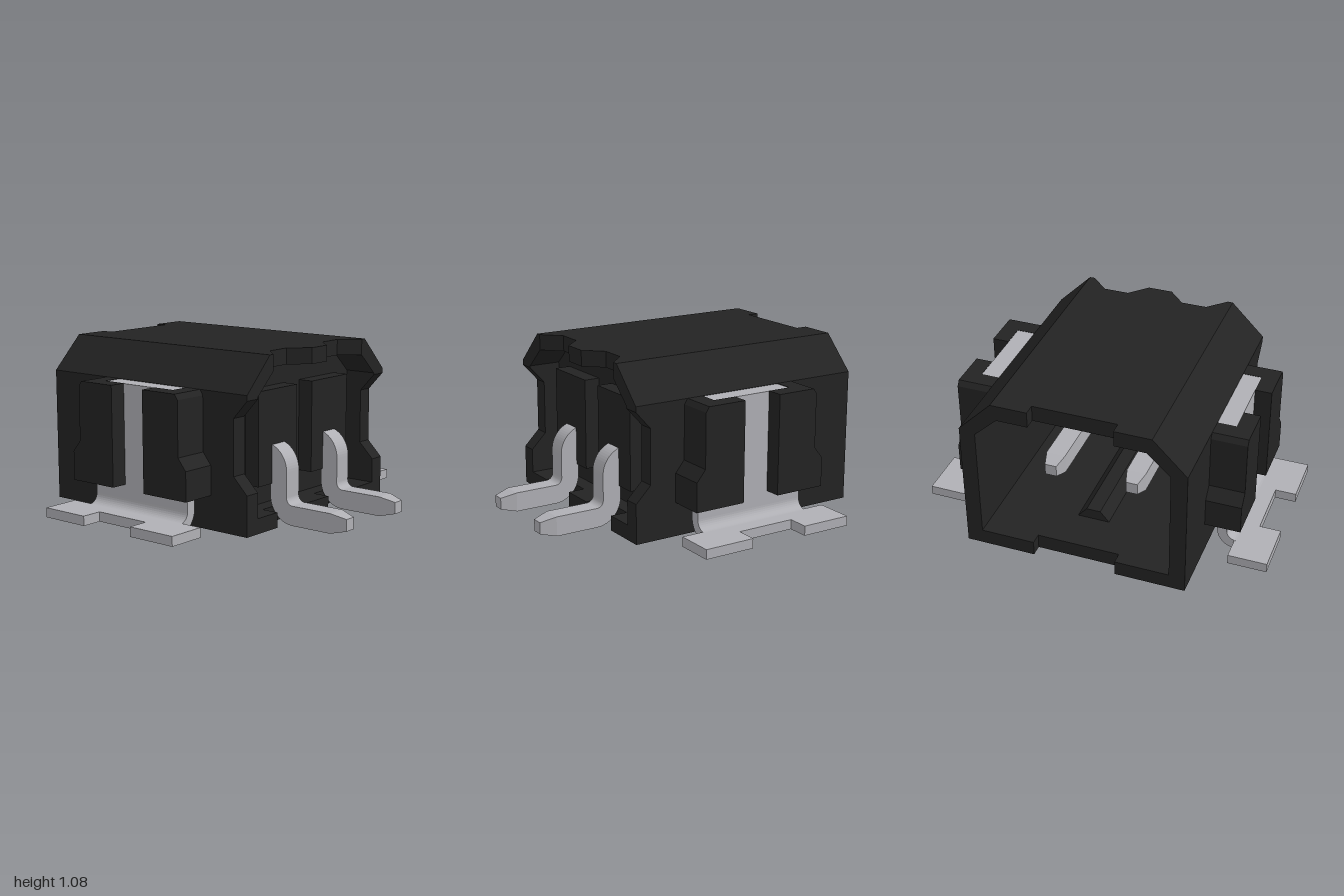
import * as THREE from 'three';

export function createModel() {
  const model = new THREE.Group();
  const plastic = new THREE.MeshStandardMaterial({ color: 0x232323 });
  plastic.name = 'black plastic';
  const metal = new THREE.MeshStandardMaterial({ color: 0xb0b0b5 });
  metal.name = 'tinned metal';

  const add = (name, geometry, material) => {
    const mesh = new THREE.Mesh(geometry, material);
    mesh.name = name;
    model.add(mesh);
  };
  const toShape = (p) => new THREE.Shape(p.map(([a, b]) => new THREE.Vector2(a, b)));
  const extrude = (p, depth) => new THREE.ExtrudeGeometry(
    Array.isArray(p) ? toShape(p) : p, { depth, bevelEnabled: false, curveSegments: 8 });
  // Prisms: along z from (x, y), along x from (z, y), along y from (x, z)
  const prismZ = (p, a, b) => extrude(p, b - a).translate(0, 0, a);
  const prismX = (p, a, b) => extrude(p, b - a).rotateY(-Math.PI / 2).translate(b, 0, 0);
  const prismY = (p, a, b) => extrude(p, b - a).rotateX(Math.PI / 2).translate(0, b, 0);
  const box = (x0, x1, y0, y1, z0, z1) =>
    new THREE.BoxGeometry(x1 - x0, y1 - y0, z1 - z0)
      .translate((x0 + x1) / 2, (y0 + y1) / 2, (z0 + z1) / 2);
  const flip = (p, s) => p.map(([x, y]) => [s * x, y]);
  // Box or prism between two x positions, mirrored by s
  const sideBox = (s, x0, x1, ...r) => (s > 0 ? box(x0, x1, ...r) : box(-x1, -x0, ...r));
  const sidePrismX = (s, p, x0, x1) => (s > 0 ? prismX(p, x0, x1) : prismX(p, -x1, -x0));

  // Housing sleeve with chamfered upper corners
  const outer = [[-0.63, 0.135], [0.63, 0.135], [0.63, 0.89], [0.44, 1.08], [-0.44, 1.08], [-0.63, 0.89]];
  const inner = [[-0.54, 0.22], [0.54, 0.22], [0.54, 0.87], [0.41, 0.99], [-0.41, 0.99], [-0.54, 0.87]];
  const ring = toShape(outer);
  ring.holes.push(toShape(inner));
  add('housingSleeve', prismZ(ring, -0.835, 0.42), plastic);
  add('frontWall', prismZ(inner, 0.15, 0.33), plastic);
  add('frontLipBottomCentre', box(-0.1, 0.1, 0.135, 0.22, 0.42, 0.52), plastic);
  add('frontLipTopCentre',
    prismY([[-0.07, 0.52], [0.07, 0.52], [0.165, 0.42], [-0.165, 0.42]], 0.99, 1.08), plastic);

  // Keying rib inside the socket
  add('floorRib', prismZ([[-0.1, 0.21], [0.1, 0.21], [0.04, 0.28], [-0.04, 0.28]], -0.6, 0.16), plastic);

  // Square bar narrowing towards zEnd
  const taper = (x, y, zBase, zEnd) => {
    const g = new THREE.BoxGeometry(0.11, 0.11, Math.abs(zEnd - zBase));
    const pos = g.attributes.position;
    const dir = Math.sign(zEnd - zBase);
    for (let i = 0; i < pos.count; i++) {
      if (pos.getZ(i) * dir > 0) pos.setXY(i, pos.getX(i) * 0.6, pos.getY(i) * 0.6);
    }
    g.computeVertexNormals();
    return g.translate(x, y, (zBase + zEnd) / 2);
  };

  // Contact pin profile in (z, y): straight contact, down bend, out bend, solder foot
  const pin = new THREE.Shape();
  pin.moveTo(-0.55, 0.465);
  pin.lineTo(0.37, 0.465);
  pin.absarc(0.37, 0.425, 0.04, Math.PI / 2, 0, true);
  pin.lineTo(0.41, 0.285);
  pin.absarc(0.56, 0.285, 0.15, Math.PI, Math.PI * 1.5, false);
  pin.lineTo(0.81, 0.135);
  pin.lineTo(0.81, 0.245);
  pin.lineTo(0.56, 0.245);
  pin.absarc(0.56, 0.285, 0.04, Math.PI * 1.5, Math.PI, true);
  pin.lineTo(0.52, 0.425);
  pin.absarc(0.37, 0.425, 0.15, 0, Math.PI / 2, false);
  pin.lineTo(-0.55, 0.575);

  // Clip leg profile in (x, y): upright leg bending outwards to the foot
  const clipLeg = (s) => {
    const pts = [[0.68, 0.3]];
    const arc = (r, from, to) => {
      for (let i = 0; i <= 8; i++) {
        const a = from + ((to - from) * i) / 8;
        pts.push([0.79 + r * Math.cos(a), 0.245 + r * Math.sin(a)]);
      }
    };
    arc(0.11, Math.PI, Math.PI * 1.5);
    arc(0.055, Math.PI * 1.5, Math.PI);
    pts.push([0.735, 0.3]);
    return flip(pts, s);
  };

  for (const s of [1, -1]) {
    const side = s > 0 ? 'left' : 'right';

    // Rear rim, notched at top and bottom
    add(side + 'RearRim', prismZ(flip([
      [0.235, 0.135], [0.63, 0.135], [0.63, 0.89], [0.44, 1.08], [0.235, 1.08],
      [0.235, 0.99], [0.41, 0.99], [0.54, 0.87], [0.54, 0.22], [0.235, 0.22]], s), -0.9, -0.835), plastic);

    // Front rim: notched side cheek, upper corner, pin notches
    add(side + 'FrontCheek', sidePrismX(s, [
      [0.42, 0.135], [0.52, 0.135], [0.52, 0.36], [0.43, 0.45],
      [0.43, 0.76], [0.52, 0.86], [0.42, 0.86]], 0.54, 0.63), plastic);
    add(side + 'FrontLipBottom', sideBox(s, 0.37, 0.54, 0.135, 0.22, 0.42, 0.52), plastic);
    add(side + 'FrontCorner', prismZ(flip([
      [0.63, 0.86], [0.63, 0.89], [0.44, 1.08], [0.41, 1.08],
      [0.41, 0.99], [0.54, 0.87], [0.54, 0.86]], s), 0.42, 0.52), plastic);
    add(side + 'FrontLipTop',
      prismY(flip([[0.41, 0.52], [0.41, 0.42], [0.31, 0.42]], s), 0.99, 1.08), plastic);
    add(side + 'PinBlock', sideBox(s, 0.07, 0.41, 0.35, 0.87, 0.32, 0.42), plastic);

    // Contact pin
    add(side + 'Pin', prismX(pin, s * 0.235 - 0.055, s * 0.235 + 0.055), metal);
    add(side + 'PinFootTip', taper(s * 0.235, 0.19, 0.81, 0.9), metal);
    add(side + 'PinContactTip', taper(s * 0.235, 0.52, -0.55, -0.63), metal);

    // Locating peg
    add(side + 'Peg', new THREE.CylinderGeometry(0.074, 0.074, 0.14, 32)
      .translate(s * 0.443, 0.07, -0.36), plastic);

    // Guide brackets either side of the clip, mirrored about z = -0.143
    for (const m of [1, -1]) {
      const bracket = (zIn) => [
        [zIn, 0.325], [0.273, 0.325], [0.273, 0.49], [0.22, 0.555],
        [0.22, 0.86], [0.2, 0.89], [zIn, 0.89],
      ].map(([z, y]) => [-0.143 + m * (z + 0.143), y]);
      const end = m > 0 ? 'Front' : 'Rear';
      add(side + end + 'BracketRoot', sidePrismX(s, bracket(0.105), 0.62, 0.735), plastic);
      add(side + end + 'BracketFlange', sidePrismX(s, bracket(-0.03), 0.735, 0.83), plastic);
    }

    // Retaining clip: plate, shoulder, bent leg and notched foot
    add(side + 'ClipPlate', sideBox(s, 0.63, 0.735, 0.325, 0.888, -0.39, 0.105), metal);
    add(side + 'ClipShoulder', sidePrismX(s, [
      [-0.48, 0.3], [0.2, 0.3], [0.19, 0.315], [0.12, 0.315], [0.1, 0.33],
      [-0.39, 0.33], [-0.41, 0.315], [-0.47, 0.315]], 0.68, 0.735), metal);
    add(side + 'ClipLeg', prismZ(clipLeg(s), -0.48, 0.2), metal);
    add(side + 'ClipFoot', prismY(flip([
      [0.78, -0.61], [1, -0.61], [1, -0.315], [0.88, -0.315],
      [0.88, 0.03], [1, 0.03], [1, 0.328], [0.78, 0.328]], s), 0.135, 0.19), metal);
  }
  return model;
}
